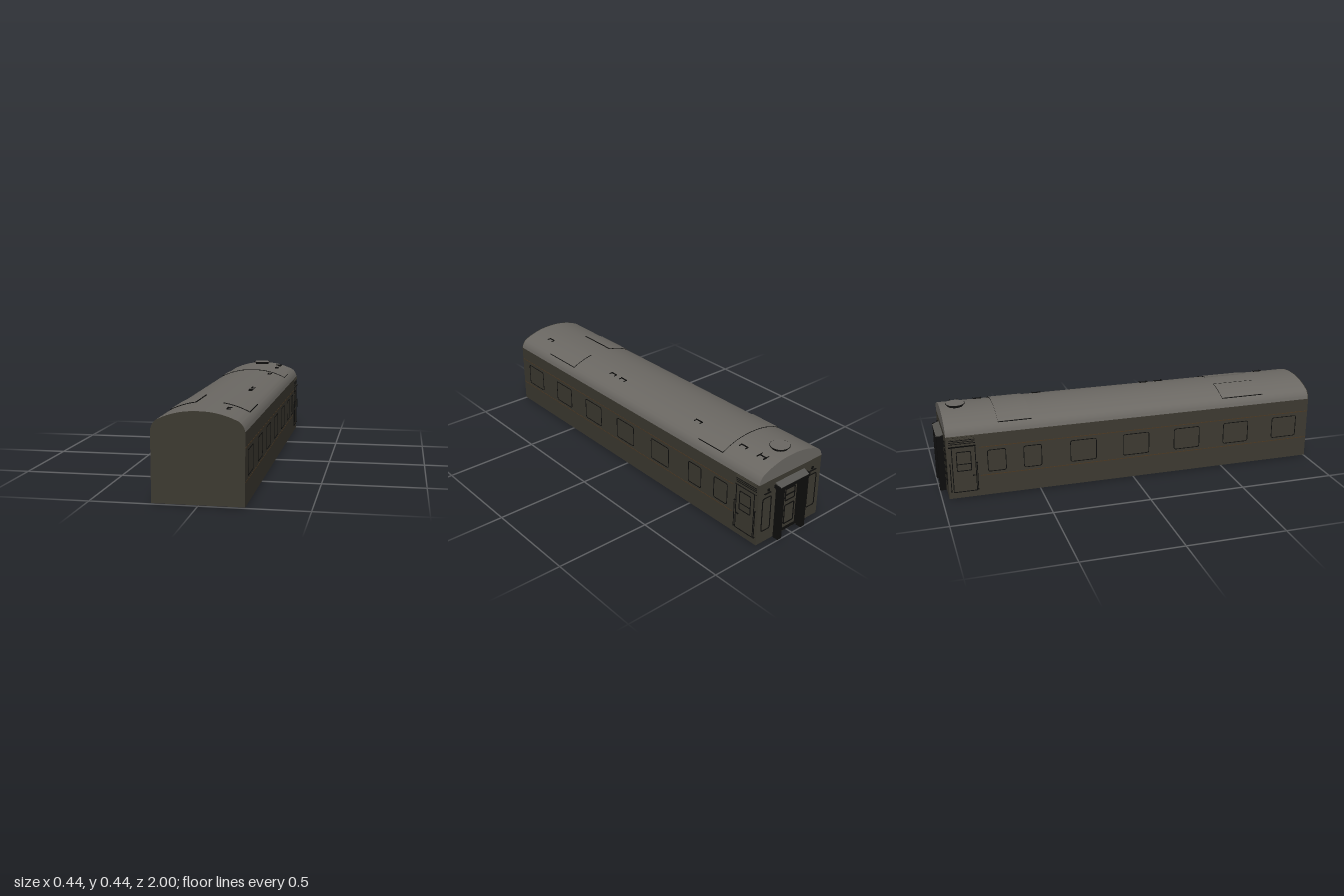
import * as THREE from 'three';
import { toCreasedNormals } from 'three/addons/utils/BufferGeometryUtils.js';

const mat = (name, color) => {
  const m = new THREE.MeshStandardMaterial({ color });
  m.name = name;
  return m;
};

const HALF = 0.211, REAR = -0.965, EAVE = 0.335, FLOOR = 0.05;
// Height of the shallow crown of the roof
const roofY = (x) => 0.422 - 0.042 * Math.pow(Math.abs(x) / 0.185, 2.2);

// Roof cross-section above the eaves
function roofShape() {
  const s = new THREE.Shape();
  s.moveTo(-HALF, EAVE);
  s.lineTo(HALF, EAVE);
  s.quadraticCurveTo(0.206, 0.363, 0.185, 0.38);
  for (let i = 1; i <= 24; i++) {
    const x = 0.185 - (0.37 * i) / 24;
    s.lineTo(x, roofY(x));
  }
  s.quadraticCurveTo(-0.206, 0.363, -HALF, EAVE);
  return s;
}

// Curved sheet that follows the crown between two x positions
function sheetShape(x0, x1) {
  const s = new THREE.Shape(), n = 12;
  for (let i = 0; i <= n; i++) {
    const x = x0 + ((x1 - x0) * i) / n;
    s[i ? 'lineTo' : 'moveTo'](x, roofY(x) - 0.003);
  }
  for (let i = n; i >= 0; i--) {
    const x = x0 + ((x1 - x0) * i) / n;
    s.lineTo(x, roofY(x) + 0.004);
  }
  return s;
}

function extrude(shape, z0, z1) {
  const g = new THREE.ExtrudeGeometry(shape, { depth: z1 - z0, bevelEnabled: false, curveSegments: 8 });
  g.translate(0, 0, z0);
  return toCreasedNormals(g, 0.5);
}

function roundRect(p, w, h, r) {
  const x = w / 2, y = h / 2;
  p.moveTo(-x + r, -y);
  p.lineTo(x - r, -y);
  p.quadraticCurveTo(x, -y, x, -y + r);
  p.lineTo(x, y - r);
  p.quadraticCurveTo(x, y, x - r, y);
  p.lineTo(-x + r, y);
  p.quadraticCurveTo(-x, y, -x, y - r);
  p.lineTo(-x, -y + r);
  p.quadraticCurveTo(-x, -y, -x + r, -y);
  return p;
}

// Thin outline with rounded corners
function outline(w, h, t = 0.004, r = 0.012, depth = 0.002) {
  const s = roundRect(new THREE.Shape(), w, h, r);
  s.holes.push(roundRect(new THREE.Path(), w - 2 * t, h - 2 * t, Math.max(r - t, 0.001)));
  return extrude(s, 0, depth);
}

export function createModel() {
  const body = mat('olive body paint', 0x3d3a31);
  const roofGrey = mat('roof grey', 0x6b6863);
  const black = mat('black fittings', 0x0e0e0d);
  const brown = mat('brown lining', 0x4c3924);
  const hoodGrey = mat('hood grey', 0x555450);

  const car = new THREE.Group();
  car.name = 'railwayCoach';
  const add = (name, geo, material, x = 0, y = 0, z = 0, parent = car) => {
    const m = new THREE.Mesh(geo, material);
    m.name = name;
    m.position.set(x, y, z);
    parent.add(m);
    return m;
  };
  const box = (name, w, h, d, material, x, y, z, parent) =>
    add(name, new THREE.BoxGeometry(w, h, d), material, x, y, z, parent);

  // Body, open skirt and underside
  const len = 1 - REAR, mid = (1 + REAR) / 2;
  box('bodyWalls', HALF * 2, EAVE - FLOOR, len, body, 0, (EAVE + FLOOR) / 2, mid);
  const skirtH = FLOOR - 0.004, skirtY = 0.004 + skirtH / 2;
  for (const s of [1, -1]) {
    box('sideSkirt', 0.004, skirtH, len, body, s * (HALF - 0.002), skirtY, mid);
    box('endSkirt', HALF * 2 - 0.008, skirtH, 0.004, body, 0, skirtY, mid + s * (len / 2 - 0.002));
  }
  box('underside', HALF * 2 - 0.008, 0.004, len - 0.008, black, 0, FLOOR - 0.002, mid);

  // Roof with painted front end
  add('roof', extrude(roofShape(), REAR, 0.997), roofGrey);
  add('frontGable', extrude(roofShape(), 0.997, 1), body);

  // Raised roof sheets
  add('rearRoofSheet', extrude(sheetShape(-0.186, 0.186), -0.7, -0.53), [black, roofGrey]);
  for (const s of [1, -1]) {
    const a = s * 0.065, b = s * 0.186;
    add('frontRoofSheet', extrude(sheetShape(Math.min(a, b), Math.max(a, b)), 0.5, 0.735), [black, roofGrey]);
    box('sheetLowerEdge', 0.002, 0.004, 0.235, black, s * 0.1865, 0.38, 0.6175);
    box('sheetLowerEdge', 0.002, 0.004, 0.17, black, s * 0.1865, 0.38, -0.615);
  }
  box('sheetUpperEdge', 0.003, 0.005, 0.235, black, -0.064, roofY(0.065) + 0.002, 0.6175);

  // Roof steps: small open brackets
  const stepY = roofY(0.11) + 0.003;
  for (const z of [-0.76, -0.445, 0.155, 0.24, 0.835]) {
    const step = new THREE.Group();
    step.name = 'roofStep';
    step.position.set(0.113, stepY, z);
    car.add(step);
    box('stepTread', 0.003, 0.008, 0.045, black, -0.009, 0, 0, step);
    for (const s of [1, -1]) box('stepArm', 0.018, 0.004, 0.003, black, 0, 0, s * 0.02, step);
  }
  for (const s of [1, -1]) box('ladderTop', 0.04, 0.005, 0.004, black, 0.105, stepY, -0.88 + s * 0.02);
  box('ladderBar', 0.004, 0.005, 0.04, black, 0.105, stepY, -0.88);

  // Round roof ventilator
  add('ventNeck', new THREE.CylinderGeometry(0.04, 0.04, 0.018, 24), black, 0, 0.424, -0.885);
  add('ventRim', new THREE.CylinderGeometry(0.049, 0.049, 0.003, 24), black, 0, 0.4335, -0.885);
  add('ventCap', new THREE.CylinderGeometry(0.047, 0.047, 0.001, 24), roofGrey, 0, 0.4355, -0.885);

  // Fittings on both sides
  const windows = [[0.86, 0.145], [0.575, 0.145], [0.295, 0.145], [0.013, 0.145],
    [-0.27, 0.14], [-0.535, 0.095], [-0.718, 0.095]];
  for (const s of [1, -1]) {
    const side = new THREE.Group();
    side.name = s > 0 ? 'leftSide' : 'rightSide';
    car.add(side);
    const onSide = (name, geo, material, y, z) => {
      add(name, geo, material, s * HALF, y, z, side).rotation.y = (s * Math.PI) / 2;
    };
    for (const [z, w] of windows) onSide('windowFrame', outline(w, 0.118, 0.0035, 0.014), black, 0.188, z);
    for (const y of [0.113, 0.265])
      box('liningStripe', 0.002, 0.004, 1.8, brown, s * HALF, y, 0.098, side);

    // Entrance door
    onSide('doorFrame', outline(0.12, 0.245, 0.004, 0.006), black, 0.157, -0.882);
    onSide('doorWindowFrame', outline(0.075, 0.105, 0.004, 0.008), black, 0.2, -0.882);
    box('doorWindowRail', 0.003, 0.004, 0.07, black, s * HALF, 0.185, -0.882, side);
    box('doorHandle', 0.006, 0.006, 0.014, black, s * HALF, 0.12, -0.836, side);
    for (const z of [-0.818, -0.952]) {
      add('handrail', new THREE.CylinderGeometry(0.002, 0.002, 0.148, 8), black, s * 0.217, 0.116, z, side);
      for (const y of [0.043, 0.189]) box('handrailBracket', 0.01, 0.004, 0.006, black, s * 0.214, y, z, side);
    }

    // Louvres and drip rail above the door
    for (let i = 0; i < 5; i++)
      box('louvre', 0.008, 0.003, 0.13, i < 3 ? black : body, s * 0.211, 0.294 + i * 0.009, -0.888, side).rotation.z = s * 0.5;
    box('dripRail', 0.014, 0.003, 0.135, black, s * 0.216, 0.281, -0.888, side).rotation.z = s * 0.7;
  }

  // Rear end wall fittings
  const rear = new THREE.Group();
  rear.name = 'rearEnd';
  car.add(rear);
  const onRear = (name, geo, material, x, y, z = REAR) => {
    add(name, geo, material, x, y, z, rear).rotation.y = Math.PI;
  };
  for (const s of [1, -1]) {
    onRear('endWindowFrame', outline(0.06, 0.185, 0.004, 0.014, 0.003), black, s * 0.155, 0.16);
    box('endGrabRail', 0.04, 0.004, 0.008, black, s * 0.155, 0.275, REAR - 0.003, rear);
    box('endSocket', 0.012, 0.012, 0.006, black, s * 0.15, 0.29, REAR - 0.002, rear);
  }

  // Gangway: surround, door, columns and hood
  const gx = 0.005;
  box('gangwaySurround', 0.15, 0.28, 0.006, black, gx, 0.152, REAR - 0.003, rear);
  box('gangwayDoor', 0.09, 0.235, 0.004, body, gx, 0.15, REAR - 0.006, rear);
  onRear('gangwayDoorWindow', outline(0.07, 0.07, 0.006, 0.01), black, gx, 0.215, REAR - 0.008);
  onRear('gangwayDoorPanel', outline(0.07, 0.11, 0.006, 0.01), black, gx, 0.105, REAR - 0.008);
  box('gangwayDoorRail', 0.07, 0.008, 0.003, black, gx, 0.213, REAR - 0.008, rear);
  for (const s of [1, -1]) {
    box('gangwayColumn', 0.026, 0.288, 0.032, black, gx + s * 0.08, 0.144, REAR - 0.017, rear);
    box('hoodEnd', 0.008, 0.016, 0.034, black, gx + s * 0.101, 0.291, REAR - 0.017, rear);
  }
  box('gangwayLintel', 0.19, 0.02, 0.028, black, gx, 0.28, REAR - 0.015, rear);
  box('gangwayHood', 0.194, 0.004, 0.037, hoodGrey, gx, 0.3, REAR - 0.0165, rear).rotation.x = -0.4;

  return car;
}
